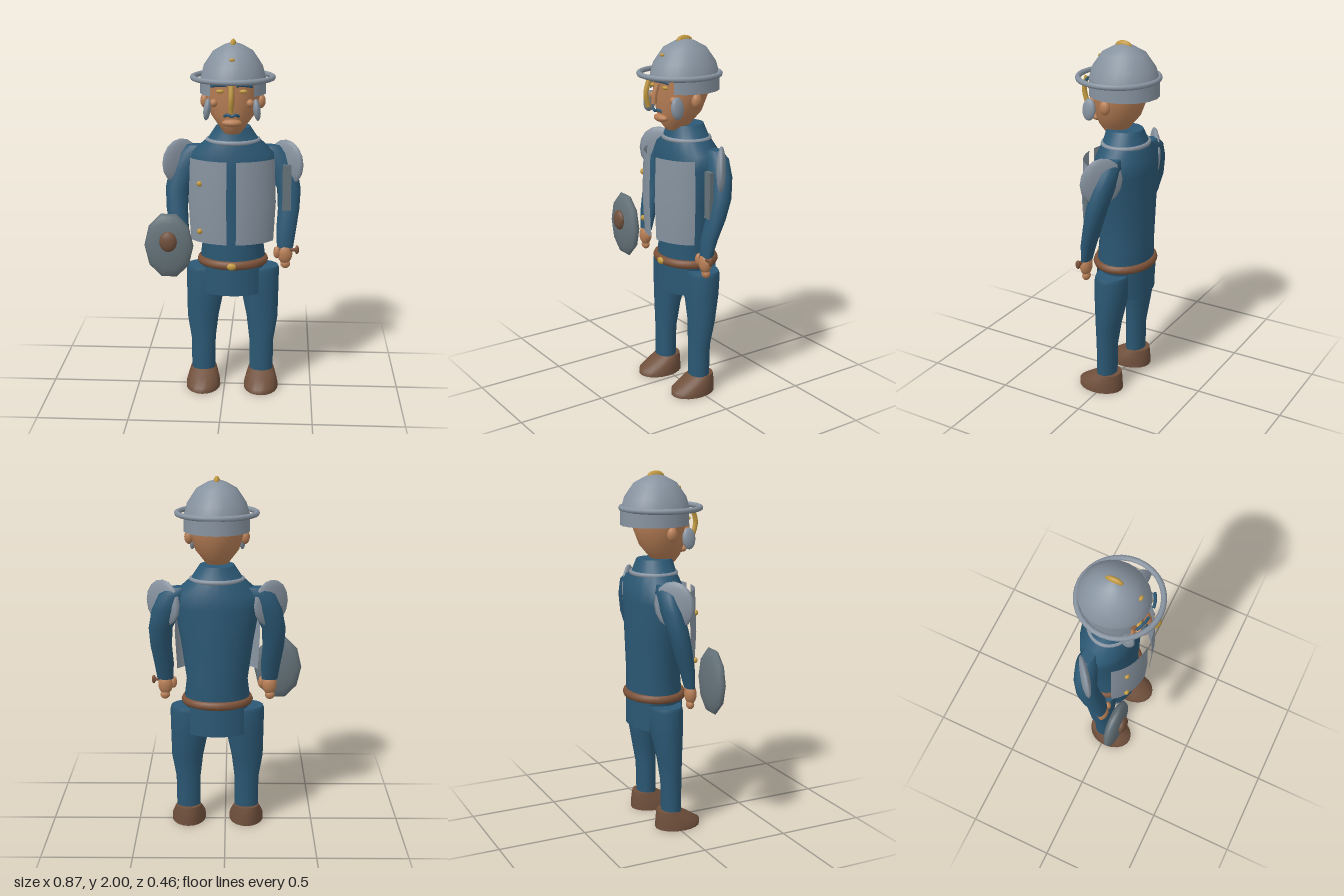
import * as THREE from 'three';

const mat = (name, color, side = THREE.FrontSide) => {
  const m = new THREE.MeshStandardMaterial({ color, side });
  m.name = name;
  return m;
};

// Stacked ellipses [y, cx, cz, rx, rz], bottom to top, with flat end caps.
function loft(rings, n = 20) {
  const pos = [], idx = [];
  const ring = ([y, cx, cz, rx, rz]) => {
    const start = pos.length / 3;
    for (let i = 0; i < n; i++) {
      const a = (i / n) * Math.PI * 2;
      pos.push(cx + rx * Math.sin(a), y, cz + rz * Math.cos(a));
    }
    return start;
  };
  const starts = rings.map(ring);
  for (let k = 0; k < starts.length - 1; k++) {
    for (let i = 0; i < n; i++) {
      const j = (i + 1) % n, a = starts[k], b = starts[k + 1];
      idx.push(a + i, a + j, b + j, a + i, b + j, b + i);
    }
  }
  [rings[0], rings[rings.length - 1]].forEach((r, top) => {
    const s = ring(r), c = pos.length / 3;
    pos.push(r[1], r[0], r[2]);
    for (let i = 0; i < n; i++) {
      const j = (i + 1) % n;
      if (top) idx.push(c, s + i, s + j);
      else idx.push(c, s + j, s + i);
    }
  });
  const g = new THREE.BufferGeometry();
  g.setAttribute('position', new THREE.Float32BufferAttribute(pos, 3));
  g.setIndex(idx);
  g.computeVertexNormals();
  return g;
}

export function createModel() {
  const cloth = mat('blue cloth', 0x2b5874);
  const clothOpen = mat('blue cloth panel', 0x2b5874, THREE.DoubleSide);
  const steel = mat('steel', 0x8793a0, THREE.DoubleSide);
  const iron = mat('dark iron', 0x65737a);
  const leather = mat('leather', 0x70503c);
  const belt = mat('belt leather', 0x7c5239);
  const skin = mat('skin', 0xb87f56);
  const gold = mat('gold', 0xc0983f);

  const root = new THREE.Group();
  root.name = 'guard';
  const body = new THREE.Group();
  body.name = 'figure';
  body.position.x = 0.045;
  root.add(body);

  const add = (name, geometry, material, x = 0, y = 0, z = 0) => {
    const m = new THREE.Mesh(geometry, material);
    m.name = name;
    m.position.set(x, y, z);
    body.add(m);
    return m;
  };
  const blob = (name, material, p, r, w = 14, h = 10) => {
    const m = add(name, new THREE.SphereGeometry(1, w, h), material, ...p);
    m.scale.set(...r);
    return m;
  };
  const hoop = (name, material, y, z, rx, rz, tube) => {
    const g = new THREE.TorusGeometry(1, tube / rx, 8, 32);
    g.rotateX(Math.PI / 2).scale(rx, rx, rz);
    return add(name, g, material, 0, y, z);
  };
  const tube = (name, material, pts, r) => {
    const curve = new THREE.CatmullRomCurve3(pts.map(p => new THREE.Vector3(...p)));
    return add(name, new THREE.TubeGeometry(curve, 10, r, 8), material);
  };
  // Curved plate: part of a turned profile, centred on angle mid.
  const plate = (name, material, profile, mid, span, sx, sz, z) => {
    const pts = profile.map(p => new THREE.Vector2(...p));
    const m = add(name, new THREE.LatheGeometry(pts, 14, mid - span / 2, span), material, 0, 0, z);
    m.scale.set(sx, 1, sz);
    return m;
  };

  // Torso, collar and belt
  add('torso', loft([
    [0.62, 0, -0.045, 0.12, 0.1], [0.7, 0, -0.045, 0.17, 0.14], [0.76, 0, -0.045, 0.185, 0.15],
    [0.88, 0, -0.05, 0.17, 0.147], [1.1, 0, -0.05, 0.2, 0.15], [1.3, 0, -0.05, 0.235, 0.15],
    [1.38, 0, -0.05, 0.23, 0.148], [1.46, 0, -0.043, 0.138, 0.117], [1.525, 0, -0.04, 0.095, 0.1],
  ], 24), cloth);
  hoop('collarRing', steel, 1.447, -0.045, 0.14, 0.12, 0.013);
  hoop('belt', belt, 0.76, -0.043, 0.176, 0.151, 0.025);
  blob('buckle', gold, [0, 0.76, 0.125], [0.027, 0.02, 0.015]);

  // Front and back skirt panels
  const skirt = [[1, 0.58], [1, 0.75]];
  plate('frontSkirt', clothOpen, skirt, 0, 1.7, 0.2, 0.155, -0.05);
  plate('backSkirt', clothOpen, skirt, Math.PI, 1.7, 0.2, 0.15, -0.045);

  // Head and face
  add('head', loft([
    [1.5, 0, 0.02, 0.05, 0.06], [1.54, 0, 0.02, 0.075, 0.092], [1.6, 0, 0.003, 0.12, 0.125],
    [1.7, 0, -0.01, 0.15, 0.15], [1.82, 0, -0.015, 0.155, 0.155],
  ], 24), skin);
  tube('nose', skin, [[0, 1.76, 0.14], [0, 1.7, 0.16], [0, 1.65, 0.165]], 0.015);
  blob('chin', skin, [0, 1.57, 0.12], [0.055, 0.022, 0.03]);
  tube('mustache', cloth, [[-0.04, 1.61, 0.14], [-0.02, 1.62, 0.155], [0, 1.612, 0.158],
    [0.02, 1.62, 0.155], [0.04, 1.61, 0.14]], 0.008);

  // Helmet
  add('helmetDome', loft([
    [1.79, 0, -0.033, 0.178, 0.192], [1.86, 0, -0.033, 0.16, 0.173],
    [1.935, 0, -0.033, 0.11, 0.12], [1.97, 0, -0.033, 0.05, 0.055], [1.984, 0, -0.033, 0.005, 0.005],
  ], 24), steel);
  plate('helmetBand', steel, [[1, 1.71], [0.99, 1.8]], Math.PI, Math.PI * 2 - 1.4, 0.181, 0.194, -0.034);
  hoop('helmetBrim', steel, 1.8, 0, 0.217, 0.217, 0.015);
  blob('crest', gold, [0, 1.972, -0.03], [0.017, 0.028, 0.05], 10, 8);
  blob('helmetRivet', gold, [0, 1.905, 0.112], [0.016, 0.009, 0.011], 10, 8);
  tube('nasalGuard', gold, [[0, 1.785, 0.195], [0, 1.71, 0.215], [0, 1.64, 0.2]], 0.014);

  for (const s of [-1, 1]) {
    const side = s > 0 ? 'left' : 'right';
    blob(side + 'Ear', skin, [s * 0.153, 1.67, -0.005], [0.025, 0.04, 0.03]);
    blob(side + 'Cheek', skin, [s * 0.097, 1.675, 0.105], [0.022, 0.022, 0.022]);
    blob(side + 'Eye', gold, [s * 0.062, 1.742, 0.135], [0.022, 0.011, 0.012]);
    tube(side + 'Brow', cloth, [[s * 0.11, 1.77, 0.14], [s * 0.07, 1.778, 0.16], [s * 0.025, 1.778, 0.17]], 0.008);
    blob(side + 'CheekGuard', steel, [s * 0.133, 1.64, 0.105], [0.02, 0.06, 0.04], 12, 8)
      .rotation.z = s * 0.12;

    // Breastplate half
    plate(side + 'Breastplate', steel, [[0.97, 0.9], [1.02, 1.12], [0.98, 1.365]], s * 0.61, 1.02, 0.262, 0.208, -0.03);

    // Arm and hand
    add(side + 'Arm', loft([
      [0.85, s * 0.295, 0.03, 0.045, 0.026], [0.95, s * 0.3, 0.012, 0.055, 0.04],
      [1.06, s * 0.312, -0.02, 0.06, 0.05], [1.17, s * 0.312, -0.048, 0.066, 0.056],
      [1.28, s * 0.275, -0.07, 0.082, 0.058], [1.37, s * 0.23, -0.08, 0.085, 0.055],
      [1.41, s * 0.2, -0.08, 0.06, 0.035],
    ], 16), cloth);
    blob(side + 'Hand', skin, [s * 0.295, 0.815, 0.035], [0.042, 0.058, 0.032]);
    blob(side + 'Fingers', skin, [s * 0.298, 0.755, 0.032], [0.028, 0.026, 0.022]);
    blob(side + 'Thumb', skin, [s * 0.25, 0.825, 0.045], [0.02, 0.035, 0.02]);

    // Shoulder plate
    blob(side + 'ShoulderPlate', steel, [s * 0.295, 1.315, -0.065], [0.12, 0.13, 0.026], 12, 8)
      .rotation.y = -s * 0.66;

    // Leg and shoe
    add(side + 'Leg', loft([
      [0.08, s * 0.167, -0.018, 0.068, 0.056], [0.28, s * 0.167, -0.02, 0.07, 0.058],
      [0.42, s * 0.17, -0.032, 0.09, 0.068], [0.58, s * 0.155, -0.042, 0.108, 0.09],
      [0.7, s * 0.15, -0.046, 0.115, 0.094], [0.722, s * 0.15, -0.046, 0.108, 0.088],
    ], 18), cloth);
    add(side + 'Shoe', loft([
      [0, s * 0.167, 0.022, 0.098, 0.132], [0.03, s * 0.167, 0.022, 0.097, 0.132],
      [0.07, s * 0.167, -0.008, 0.085, 0.1], [0.106, s * 0.167, -0.035, 0.072, 0.066],
    ], 20), leather);
  }

  // Breastplate rivets on the right side only
  for (const y of [1.235, 0.965]) blob('breastplateRivet', gold, [-0.175, y, 0.127], [0.016, 0.016, 0.014], 10, 8);

  // Plate along the left upper arm
  add('armGuard', new THREE.BoxGeometry(0.048, 0.255, 0.025), iron, 0.3, 1.192, 0.017);

  // Short grip held in the left hand
  const grip = add('grip', new THREE.CylinderGeometry(0.01, 0.01, 0.13, 8), belt, 0.3, 0.842, 0.045);
  grip.rotation.z = Math.PI / 2;
  blob('gripEnd', belt, [0.362, 0.842, 0.045], [0.012, 0.025, 0.014], 10, 8);

  // Shield with boss
  const shieldGeometry = new THREE.SphereGeometry(1, 10, 8).rotateX(Math.PI / 2);
  add('shield', shieldGeometry, iron, -0.345, 0.886, 0.141).scale.set(0.136, 0.19, 0.042);
  blob('shieldBoss', leather, [-0.345, 0.918, 0.182], [0.049, 0.058, 0.025], 14, 8);

  return root;
}
